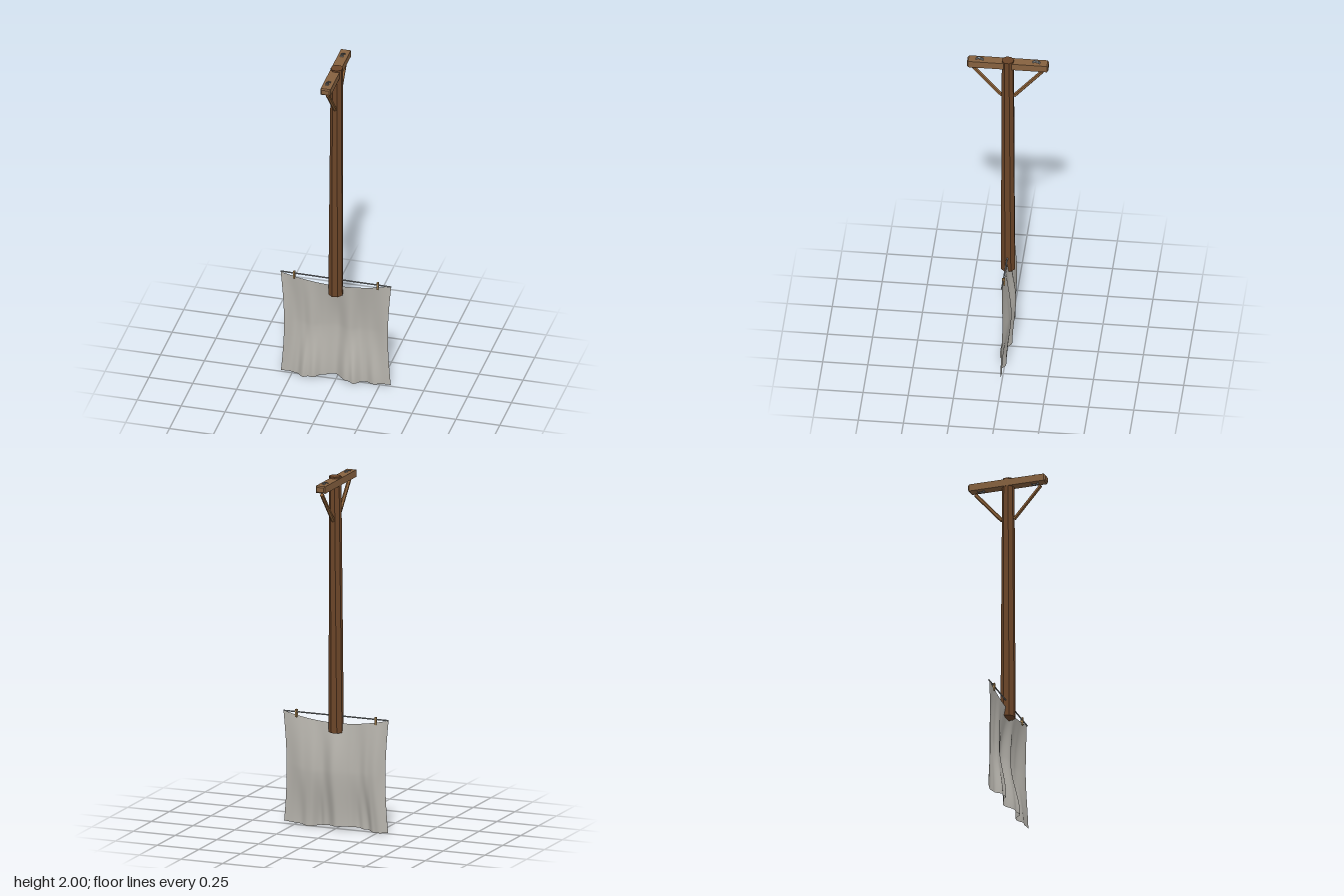
import * as THREE from 'three';

const mat = (name, color, extra = {}) => new THREE.MeshStandardMaterial({ name, color, ...extra });

// Smooth interpolation through a short list of [x, z] knots
function sample(knots, x) {
  let i = 0;
  while (i < knots.length - 2 && x > knots[i + 1][0]) i++;
  const [x0, a] = knots[i], [x1, b] = knots[i + 1];
  return a + (b - a) * THREE.MathUtils.smoothstep(x, x0, x1);
}

// Depth of the cloth across its width, at mid height and along the hem
const MID = [[-0.315, 0], [-0.25, -0.026], [-0.2, -0.018], [-0.15, -0.004], [-0.09, -0.022],
  [0, -0.045], [0.08, -0.012], [0.14, -0.034], [0.2, -0.028], [0.315, 0]];
const HEM = [[-0.315, -0.006], [-0.265, -0.014], [-0.225, -0.004], [-0.18, 0.031], [-0.155, 0.022],
  [-0.125, 0.032], [-0.08, 0.002], [-0.01, -0.024], [0.06, 0.02], [0.075, 0.02], [0.105, 0.034],
  [0.15, -0.008], [0.17, -0.008], [0.22, 0.013], [0.26, 0.006], [0.315, 0.009]];

function clothGeometry() {
  const geo = new THREE.PlaneGeometry(0.63, 1, 84, 40);
  const p = geo.attributes.position;
  for (let i = 0; i < p.count; i++) {
    const x = p.getX(i), t = 0.5 - p.getY(i), u = x / 0.315;
    const top = 0.6 + 0.043 * u * u;
    const hem = 0.012 + 0.008 * Math.sin(x * 17 + 2.2) - 0.004 * u * u;
    const mid = sample(MID, x), bottom = sample(HEM, x);
    const z = t < 0.5
      ? mid * Math.sin(t * Math.PI)
      : THREE.MathUtils.lerp(mid, bottom, THREE.MathUtils.smoothstep(t, 0.45, 1));
    const pinch = 1 - 0.06 * Math.sin(t * Math.PI);
    p.setXYZ(i, x * pinch, Math.max(0, THREE.MathUtils.lerp(top, hem, t)), z);
  }
  geo.computeVertexNormals();
  return geo;
}

// Straight rod between two points
function rod(a, b, radius, sides, material, name) {
  const dir = b.clone().sub(a);
  const mesh = new THREE.Mesh(new THREE.CylinderGeometry(radius, radius, dir.length(), sides), material);
  mesh.position.copy(a).add(b).multiplyScalar(0.5);
  mesh.quaternion.setFromUnitVectors(new THREE.Vector3(0, 1, 0), dir.normalize());
  mesh.name = name;
  return mesh;
}

export function createModel() {
  const group = new THREE.Group();
  const postWood = mat('post wood', 0x6b4528, { flatShading: true });
  const beamWood = mat('beam wood', 0x86613f, { flatShading: true });
  const braceWood = mat('brace wood', 0x8a5f36, { flatShading: true });
  const pegWood = mat('peg wood', 0xb08a55);
  const cloth = mat('grey cloth', 0xb6b3ac, { side: THREE.DoubleSide });
  const metal = mat('wire metal', 0x8e9294);
  const V = (x, y, z) => new THREE.Vector3(x, y, z);
  const add = (name, geo, material, x = 0, y = 0, z = 0) => {
    const mesh = new THREE.Mesh(geo, material);
    mesh.name = name;
    mesh.position.set(x, y, z);
    group.add(mesh);
    return mesh;
  };

  // Tapered eight-sided post, leaning and twisting very slightly
  const postGeo = new THREE.CylinderGeometry(0.034, 0.042, 1.45, 8, 6);
  const pp = postGeo.attributes.position;
  for (let i = 0; i < pp.count; i++) {
    const h = pp.getY(i) / 1.45 + 0.5, a = 0.3 + 0.2 * h;
    const x = pp.getX(i), z = pp.getZ(i);
    pp.setXYZ(i, x * Math.cos(a) - z * Math.sin(a) - 0.001 + 0.006 * h,
      pp.getY(i), x * Math.sin(a) + z * Math.cos(a));
  }
  postGeo.computeVertexNormals();
  add('post', postGeo, postWood, 0, 1.275, 0);

  // Crossbeam with chamfered edges
  const b = 0.007, w = 0.028 - b, h = 0.02 - b;
  const section = new THREE.Shape([[-w, -h], [w, -h], [w, h], [-w, h]].map(q => new THREE.Vector2(...q)));
  const beamGeo = new THREE.ExtrudeGeometry(section, {
    depth: 0.45 - 2 * b, bevelEnabled: true, bevelSize: b, bevelThickness: b, bevelSegments: 1,
  });
  beamGeo.translate(0, 0, -0.225 + b);
  add('crossbeam', beamGeo, beamWood, -0.001, 1.97, 0);

  // Diagonal braces and wire coils, one pair on each side
  for (const s of [-1, 1]) {
    group.add(rod(V(0.003, 1.755, s * 0.035), V(0.003, 1.935, s * 0.19), 0.011, 6, braceWood, 'brace'));
    const turns = [];
    for (let i = 0; i <= 64; i++) {
      const a = (i / 64) * Math.PI * 8;
      turns.push(V(-0.012 + 0.02 * (i / 64), 0.028 * Math.cos(a), 0.028 * Math.sin(a)));
    }
    turns.push(V(0.013, 0.028, 0.001));
    add('wireCoil', new THREE.TubeGeometry(new THREE.CatmullRomCurve3(turns), 160, 0.0018, 6),
      metal, 0, 1.97, s * 0.157);
  }

  // Hanging cloth, the line it hangs from, and its pegs
  add('cloth', clothGeometry(), cloth);
  group.add(rod(V(-0.315, 0.644, -0.003), V(0.315, 0.641, 0.002), 0.004, 8, metal, 'line'));
  for (const x of [-0.239, 0.237]) {
    add('peg', new THREE.BoxGeometry(0.01, 0.044, 0.016), pegWood, x, 0.634, -0.001);
  }
  return group;
}
